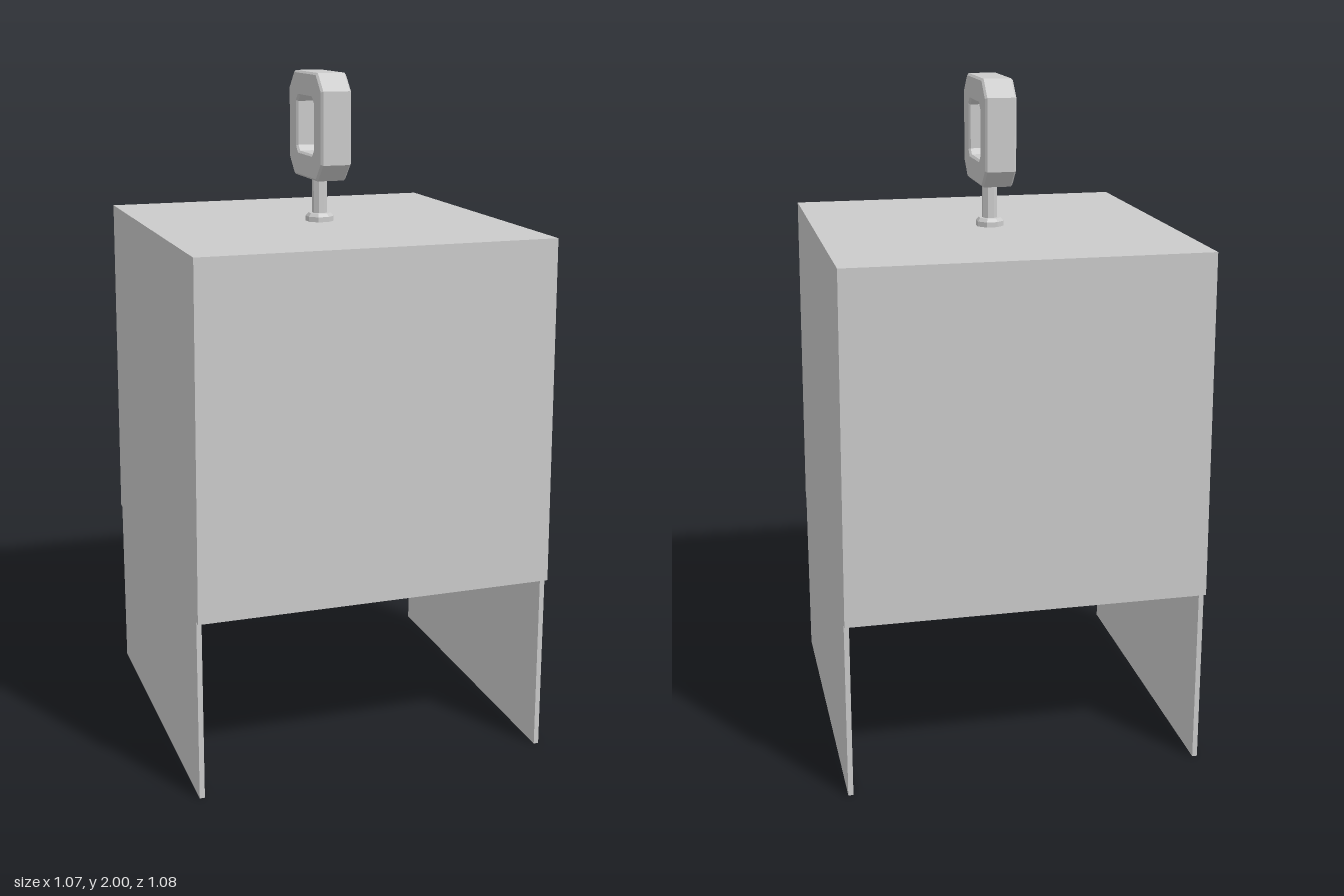
import * as THREE from 'three';

export function createModel() {
  const model = new THREE.Group();
  const material = new THREE.MeshStandardMaterial({ color: 0xcccccc, flatShading: true });

  function add(name, geometry, x = 0, y = 0, z = 0) {
    const mesh = new THREE.Mesh(geometry, material);
    mesh.name = name;
    mesh.position.set(x, y, z);
    model.add(mesh);
    return mesh;
  }
  const points = list => list.map(([x, y]) => new THREE.Vector2(x, y));
  // Rectangle with cut corners, centred on the origin
  const cutSquare = (h, c) => points([
    [h - c, -h], [h, -h + c], [h, h - c], [h - c, h],
    [-h + c, h], [-h, h - c], [-h, -h + c], [-h + c, -h],
  ]);
  // Plate with a profile in x and y, extruded along z and centred on it
  const plate = (list, depth) => new THREE.ExtrudeGeometry(
    new THREE.Shape(points(list)), { depth, bevelEnabled: false }).translate(0, 0, -depth / 2);

  const top = 1.56, hem = 0.54, wall = 0.015;
  const topX = 0.523, hemX = 0.532, footX = 0.533;
  const innerZ = 0.522, outerZ = 0.541;

  // Front and back panels, slightly wider towards the hem
  const panel = [[-hemX, hem], [hemX, hem], [topX, top], [-topX, top]];
  for (const [name, side] of [['frontPanel', 1], ['backPanel', -1]]) {
    add(name, plate(panel, outerZ - innerZ), 0, 0, side * (innerZ + outerZ) / 2);
  }

  // Side panels run down to the ground as two thin legs
  const sideProfile = [
    [footX - wall, 0], [footX, 0], [hemX, hem],
    [topX, top], [topX - wall, top], [hemX - wall, hem],
  ];
  for (const [name, turn] of [['leftPanel', 0], ['rightPanel', Math.PI]]) {
    add(name, plate(sideProfile, innerZ * 2)).rotation.y = turn;
  }

  // Roof closes the hollow body
  add('roof', new THREE.BoxGeometry((topX - wall) * 2, wall, innerZ * 2), 0, top - wall / 2, 0);

  // Collar and stem that carry the ring
  const collar = points([[0, 0], [0.042, 0], [0.042, 0.015], [0.034, 0.025], [0, 0.025]]);
  add('collar', new THREE.LatheGeometry(collar, 8, Math.PI / 8), 0, top, 0);
  add('stem', new THREE.CylinderGeometry(0.023, 0.023, 0.13, 8).rotateY(Math.PI / 8), 0, 1.64, 0);

  // Square ring with cut corners and a fine bevel
  const ring = new THREE.Shape(cutSquare(0.155, 0.05));
  ring.holes.push(new THREE.Path(cutSquare(0.081, 0.016).reverse()));
  const bevel = 0.006, width = 0.092;
  const ringGeometry = new THREE.ExtrudeGeometry(ring, {
    depth: width - bevel * 2, bevelThickness: bevel, bevelSize: bevel,
    bevelOffset: -bevel, bevelSegments: 1,
  }).translate(0, 0, bevel - width / 2).rotateY(Math.PI / 2);
  add('ring', ringGeometry, 0, 1.845, 0);

  return model;
}
